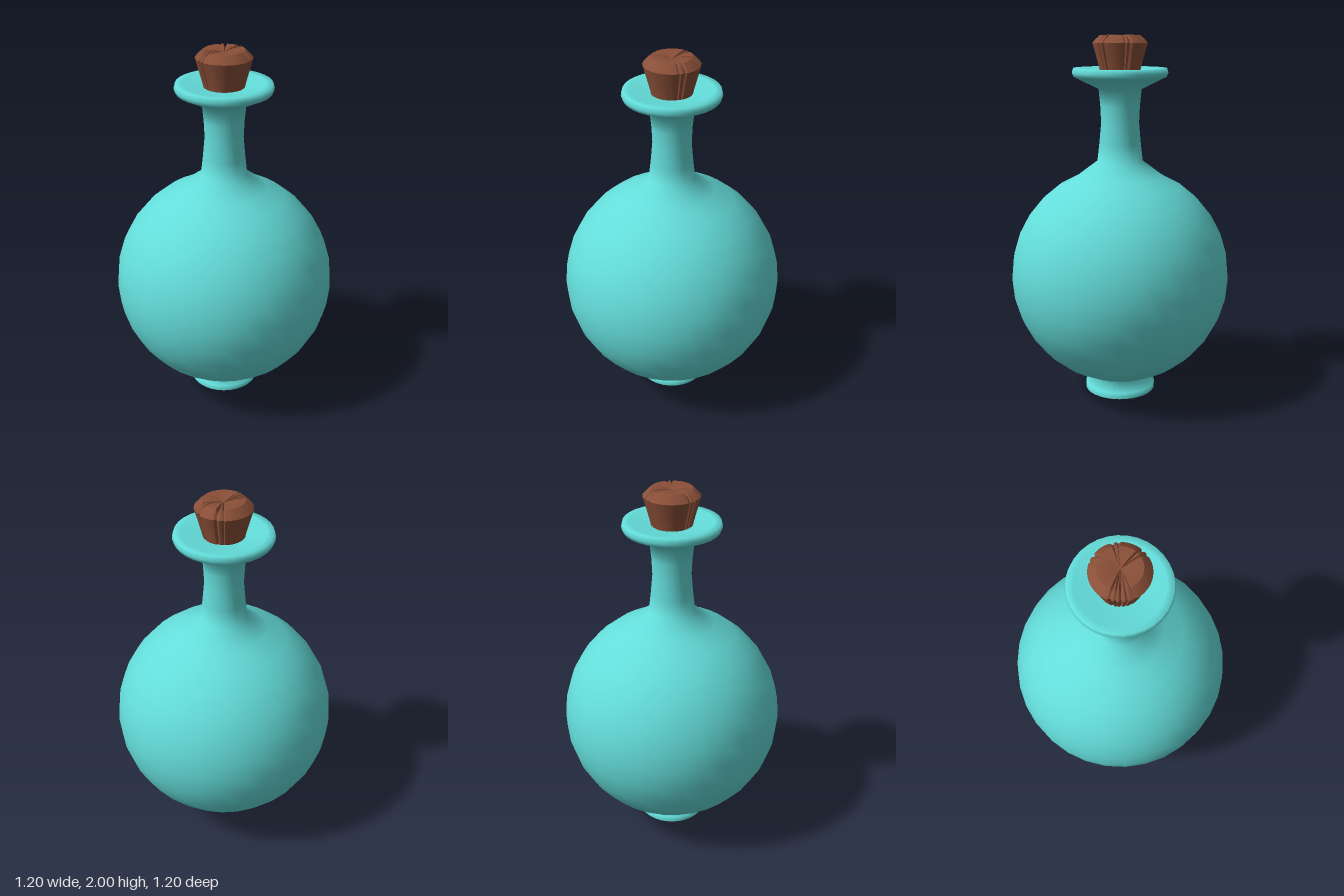
import * as THREE from 'three';
import { mergeVertices, toCreasedNormals } from 'three/addons/utils/BufferGeometryUtils.js';

const glass = new THREE.MeshStandardMaterial({ color: 0x63dcd9, side: THREE.DoubleSide });
glass.name = 'turquoise glass';
const corkBrown = new THREE.MeshStandardMaterial({ color: 0x8a4f38 });
corkBrown.name = 'cork brown';

const points = (list) => list.map(([r, y]) => new THREE.Vector2(r, y));

function lathe(name, profile, material, segments = 32) {
  const mesh = new THREE.Mesh(new THREE.LatheGeometry(points(profile), segments), material);
  mesh.name = name;
  return mesh;
}

// Round belly, running from the foot's waist up to the shoulder
function bellyProfile() {
  const list = [];
  for (let i = -7; i <= 6; i++) {
    const a = (i * Math.PI) / 16;
    list.push([0.6 * Math.cos(a), 0.7 + 0.6 * Math.sin(a)]);
  }
  return list;
}

// Tapered stopper with split lines cut down its side and across its top
function makeCork() {
  const profile = [[0, 1.78], [0.1, 1.78], [0.11, 1.83], [0.129, 1.9], [0.146, 1.96],
    [0.128, 1.98], [0.105, 2], [0.08, 2], [0.05, 1.998], [0.025, 1.992], [0, 1.985]];
  // angle (from +z towards +x), half width, depth
  const grooves = [[-0.58, 0.07, 0.016], [-0.4, 0.05, 0.014], [-0.22, 0.07, 0.02], [-0.02, 0.06, 0.016],
    [0.2, 0.04, 0.008], [1.9, 0.06, 0.014], [2.12, 0.07, 0.018], [2.95, 0.06, 0.016],
    [3.15, 0.08, 0.018], [-2.4, 0.08, 0.018], [-2.15, 0.05, 0.012]];
  let geometry = new THREE.LatheGeometry(points(profile), 144, Math.PI / 2);
  const pos = geometry.attributes.position;
  for (let i = 0; i < pos.count; i++) {
    const x = pos.getX(i), y = pos.getY(i), z = pos.getZ(i);
    const r = Math.hypot(x, z);
    if (r < 0.02 || y < 1.8) continue;
    const angle = Math.atan2(x, z);
    let cut = 0;
    for (const [at, width, depth] of grooves) {
      const gap = Math.abs(Math.atan2(Math.sin(angle - at), Math.cos(angle - at)));
      cut = Math.max(cut, depth * (1 - gap / width));
    }
    const onTop = y > 1.985;
    const k = onTop ? 1 : 1 - (cut * 0.7) / r;
    pos.setXYZ(i, x * k, onTop ? y - cut : y, z * k);
  }
  geometry.deleteAttribute('normal');
  geometry.deleteAttribute('uv');
  geometry = mergeVertices(geometry, 1e-5);
  geometry.computeVertexNormals();
  const mesh = new THREE.Mesh(toCreasedNormals(geometry, 0.5), corkBrown);
  mesh.name = 'cork';
  return mesh;
}

export function createModel() {
  const group = new THREE.Group();
  group.name = 'corkedFlask';

  // Foot side, belly, neck and flared lip as one smooth skin
  group.add(lathe('flaskBody', [
    [0.195, 0.025], [0.195, 0.06],
    ...bellyProfile(),
    [0.123, 1.335], [0.112, 1.43], [0.102, 1.54], [0.106, 1.63], [0.115, 1.72],
    [0.222, 1.773], [0.248, 1.785], [0.256, 1.805], [0.249, 1.83],
    [0.215, 1.828], [0.16, 1.817], [0.09, 1.81],
  ], glass));

  // Shallow pointed underside
  group.add(lathe('footUnderside', [[0, 0], [0.195, 0.025]], glass));

  group.add(makeCork());
  return group;
}
